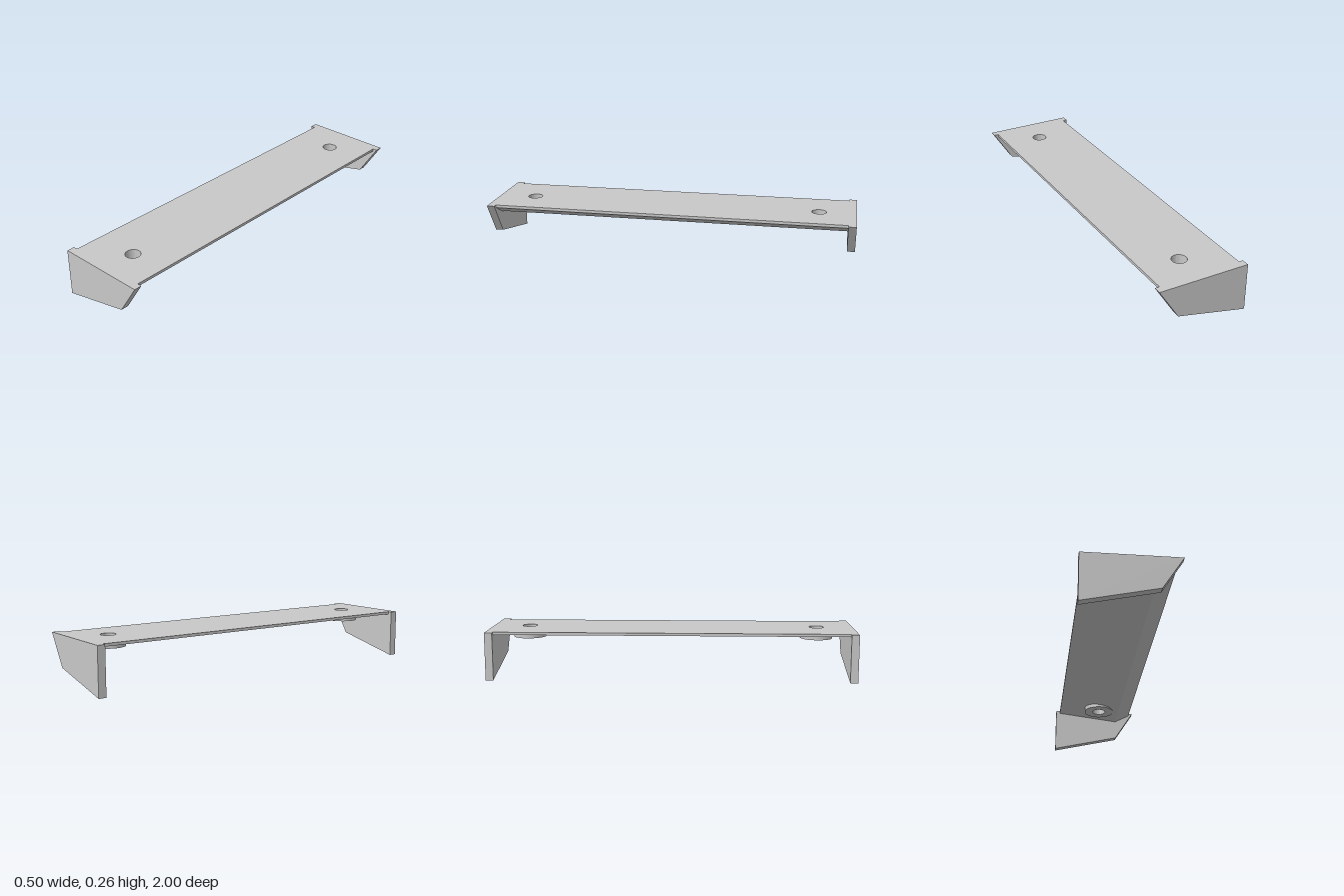
import * as THREE from 'three';
import { toCreasedNormals } from 'three/addons/utils/BufferGeometryUtils.js';

const TOP = 0.26, LIP = 0.245, KEEL = 0.2;   // plate heights: top, edge underside, ridge
const X0 = -0.227, XK = 0.138, X1 = 0.225;   // plate edges and ridge position
const HOLE_X = 0.015, HOLE_R = 0.04, INNER = 0.958;

const shapeOf = (pts) => new THREE.Shape(pts.map(([x, y]) => new THREE.Vector2(x, y)));

// Height of the plate's underside at x: two slopes meeting in a ridge
const underside = (x) => x <= XK
  ? THREE.MathUtils.mapLinear(x, X0, XK, LIP, KEEL)
  : THREE.MathUtils.mapLinear(x, XK, X1, KEEL, LIP);

// One strip of the plate, with its seam at the ridge and its covered ends left open
function plateStrip(xa, xb, holeZs) {
  const shape = shapeOf([[xa, -INNER], [xb, -INNER], [xb, INNER], [xa, INNER]]);
  for (const z of holeZs) {
    shape.holes.push(new THREE.Path().absarc(HOLE_X, z, HOLE_R, 0, Math.PI * 2, true));
  }
  const geo = new THREE.ExtrudeGeometry(shape, { depth: 1, bevelEnabled: false, curveSegments: 32 })
    .rotateX(-Math.PI / 2);
  const p = geo.attributes.position;
  const kept = [];
  for (let i = 0; i < p.count; i += 3) {
    const ids = [i, i + 1, i + 2];
    const liesOn = (axis, value) => ids.every((k) => Math.abs(p.getComponent(k, axis) - value) < 1e-5);
    if (liesOn(0, XK) || liesOn(2, INNER) || liesOn(2, -INNER)) continue;
    for (const k of ids) kept.push(p.getX(k), p.getY(k) > 0.5 ? TOP : underside(p.getX(k)), p.getZ(k));
  }
  const out = new THREE.BufferGeometry();
  out.setAttribute('position', new THREE.Float32BufferAttribute(kept, 3));
  return toCreasedNormals(out, 0.35);
}

export function createModel() {
  const model = new THREE.Group();
  model.name = 'bracket';
  const grey = new THREE.MeshStandardMaterial({ color: 0xc8c8c8 });
  grey.name = 'grey';

  const add = (name, geo) => {
    const mesh = new THREE.Mesh(geo, grey);
    mesh.name = name;
    model.add(mesh);
    return mesh;
  };

  // Long plate with a ridged underside and two screw holes
  add('plate', plateStrip(X0, XK, [-0.8, 0.8]));
  add('plateSlope', plateStrip(XK, X1, []));

  // Flat round bosses under the screw holes
  const bossGeo = toCreasedNormals(new THREE.LatheGeometry(
    [[HOLE_R, 0.222], [HOLE_R, KEEL], [0.09, KEEL], [0.09, 0.23]].map(([r, y]) => new THREE.Vector2(r, y)), 40), 0.5);

  // End panels
  const panelGeo = new THREE.ExtrudeGeometry(
    shapeOf([[-0.25, 0], [0.14, 0.088], [0.25, TOP], [-0.25, TOP]]),
    { depth: 1 - INNER, bevelEnabled: false });

  for (const [side, s] of [['front', 1], ['back', -1]]) {
    add(side + 'Boss', bossGeo).position.set(HOLE_X, 0, 0.8 * s);
    add(side + 'Panel', panelGeo).position.z = s > 0 ? INNER : -1;
  }
  return model;
}
